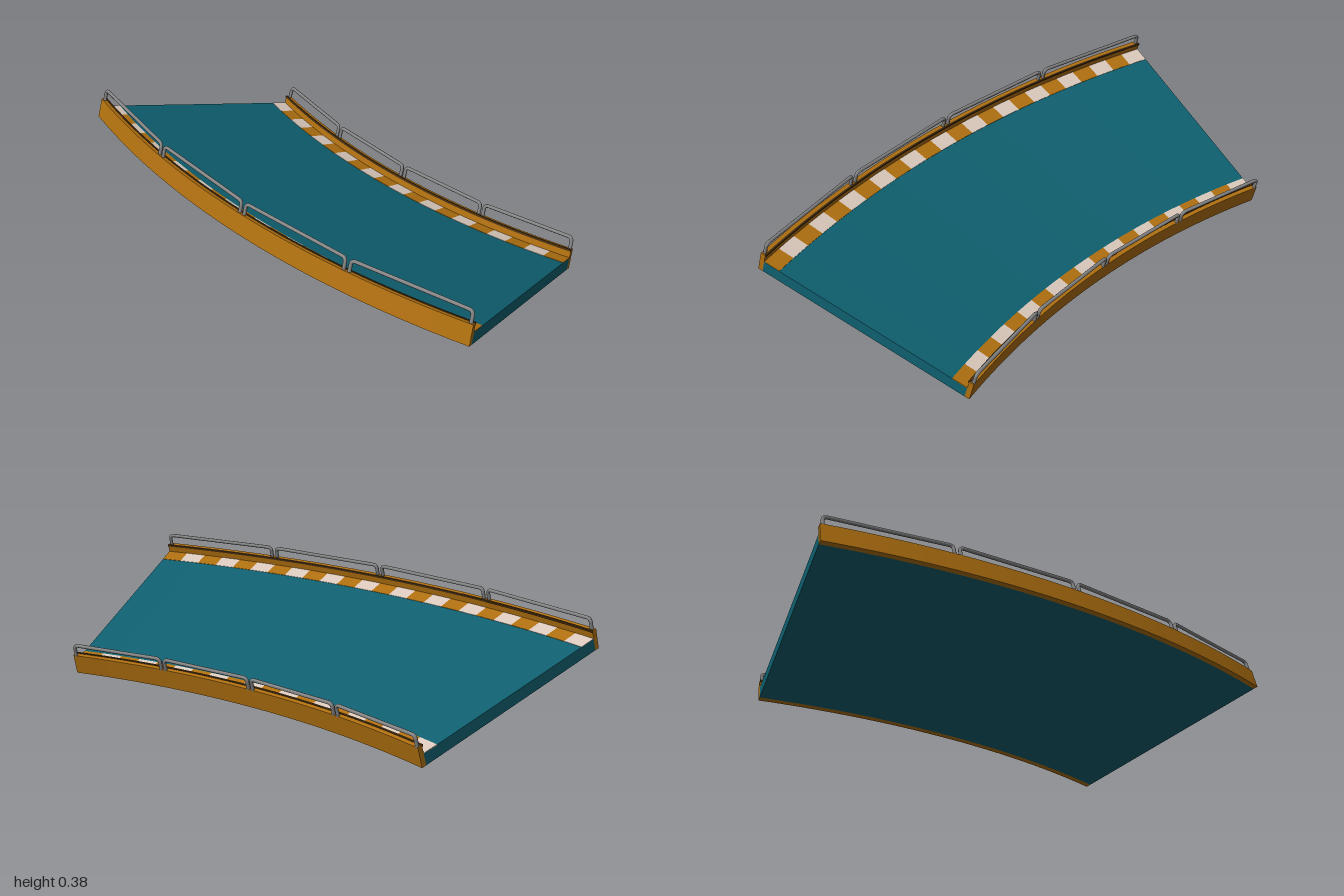
import * as THREE from 'three';
import { toCreasedNormals } from 'three/addons/utils/BufferGeometryUtils.js';

// Banked 30 degree bend: s runs up the bank from the inner edge, h is square to it
const CENTRE = 2.597, INNER = 3.235, BANK = Math.PI / 12;
const START = Math.PI / 6, SWEEP = Math.PI / 6;
const WIDTH = 0.947, DECK = 0.05, WALL = 0.085, WALL_T = 0.02;

function point(t, s, h) {
  const a = START + SWEEP * t;
  const r = INNER + s * Math.cos(BANK) - h * Math.sin(BANK);
  const y = s * Math.sin(BANK) + h * Math.cos(BANK);
  return new THREE.Vector3(CENTRE - r * Math.cos(a), y, -CENTRE + r * Math.sin(a));
}

// Sweep a rectangle in (s, h) along the bend from t0 to t1
function sweep(s0, s1, h0, h1, t0 = 0, t1 = 1, steps = 32) {
  const profile = [[s0, h0], [s1, h0], [s1, h1], [s0, h1]];
  const pos = [], index = [];
  for (let i = 0; i <= steps; i++) {
    const t = t0 + (t1 - t0) * i / steps;
    for (const [s, h] of profile) pos.push(...point(t, s, h).toArray());
  }
  for (let i = 0; i < steps; i++) {
    for (let j = 0; j < 4; j++) {
      const a = i * 4 + j, b = i * 4 + (j + 1) % 4;
      index.push(a, a + 4, b, b, a + 4, b + 4);
    }
  }
  const e = steps * 4;
  index.push(0, 1, 2, 0, 2, 3, e, e + 2, e + 1, e, e + 3, e + 2);
  const geo = new THREE.BufferGeometry();
  geo.setAttribute('position', new THREE.Float32BufferAttribute(pos, 3));
  geo.setIndex(index);
  return toCreasedNormals(geo, 0.5);
}

// Hoop of bent pipe between two stations on top of a wall
function hoop(t0, t1, s) {
  const top = 0.132, bend = 0.018;
  const footA = point(t0, s, WALL - 0.005), footB = point(t1, s, WALL - 0.005);
  const topA = point(t0, s, top), topB = point(t1, s, top);
  const toward = (from, to) => from.clone().add(to.clone().sub(from).setLength(bend));
  const path = new THREE.CurvePath();
  const a1 = toward(topA, footA), a2 = toward(topA, topB);
  const b1 = toward(topB, topA), b2 = toward(topB, footB);
  path.add(new THREE.LineCurve3(footA, a1));
  path.add(new THREE.QuadraticBezierCurve3(a1, topA, a2));
  path.add(new THREE.LineCurve3(a2, b1));
  path.add(new THREE.QuadraticBezierCurve3(b1, topB, b2));
  path.add(new THREE.LineCurve3(b2, footB));
  return new THREE.TubeGeometry(path, 100, 0.0075, 8);
}

export function createModel() {
  const group = new THREE.Group();
  const mat = (color) => new THREE.MeshStandardMaterial({ color });
  const teal = mat(0x0f6070), orange = mat(0xb07010), white = mat(0xdccabd);
  const dark = mat(0x4a3010), steel = mat(0x858585);
  const add = (name, geo, material, parent = group) => {
    const mesh = new THREE.Mesh(geo, material);
    mesh.name = name;
    parent.add(mesh);
  };

  add('roadDeck', sweep(WALL_T, WIDTH - WALL_T, 0, DECK), teal);

  const sides = [
    { name: 'inner', wall: 0, kerb: [WALL_T, 0.086], pairs: 10, rail: 0.006 },
    { name: 'outer', wall: WIDTH - WALL_T, kerb: [0.857, WIDTH - WALL_T], pairs: 12, rail: 0.937 },
  ];
  for (const { name, wall, kerb, pairs, rail } of sides) {
    // Side wall with a thin dark trim along its top edge facing the road
    add(name + 'Wall', sweep(wall, wall + WALL_T, 0, WALL), orange);
    const lip = name === 'inner' ? wall + WALL_T - 0.003 : wall - 0.004;
    add(name + 'Trim', sweep(lip, lip + 0.007, WALL - 0.006, WALL + 0.003), dark);

    // Kerb of alternating light and orange blocks
    const stripes = new THREE.Group();
    stripes.name = name + 'Kerb';
    const n = pairs * 2;
    for (let i = 0; i < n; i++) {
      add('kerbBlock', sweep(kerb[0], kerb[1], DECK - 0.002, DECK + 0.0015, i / n, (i + 1) / n, 2),
        i % 2 ? orange : white, stripes);
    }
    group.add(stripes);

    // Four handrail hoops
    const rails = new THREE.Group();
    rails.name = name + 'Handrail';
    for (let i = 0; i < 4; i++) {
      add('railHoop', hoop(i / 4 + 0.006, (i + 1) / 4 - 0.006, rail), steel, rails);
    }
    group.add(rails);
  }
  return group;
}
